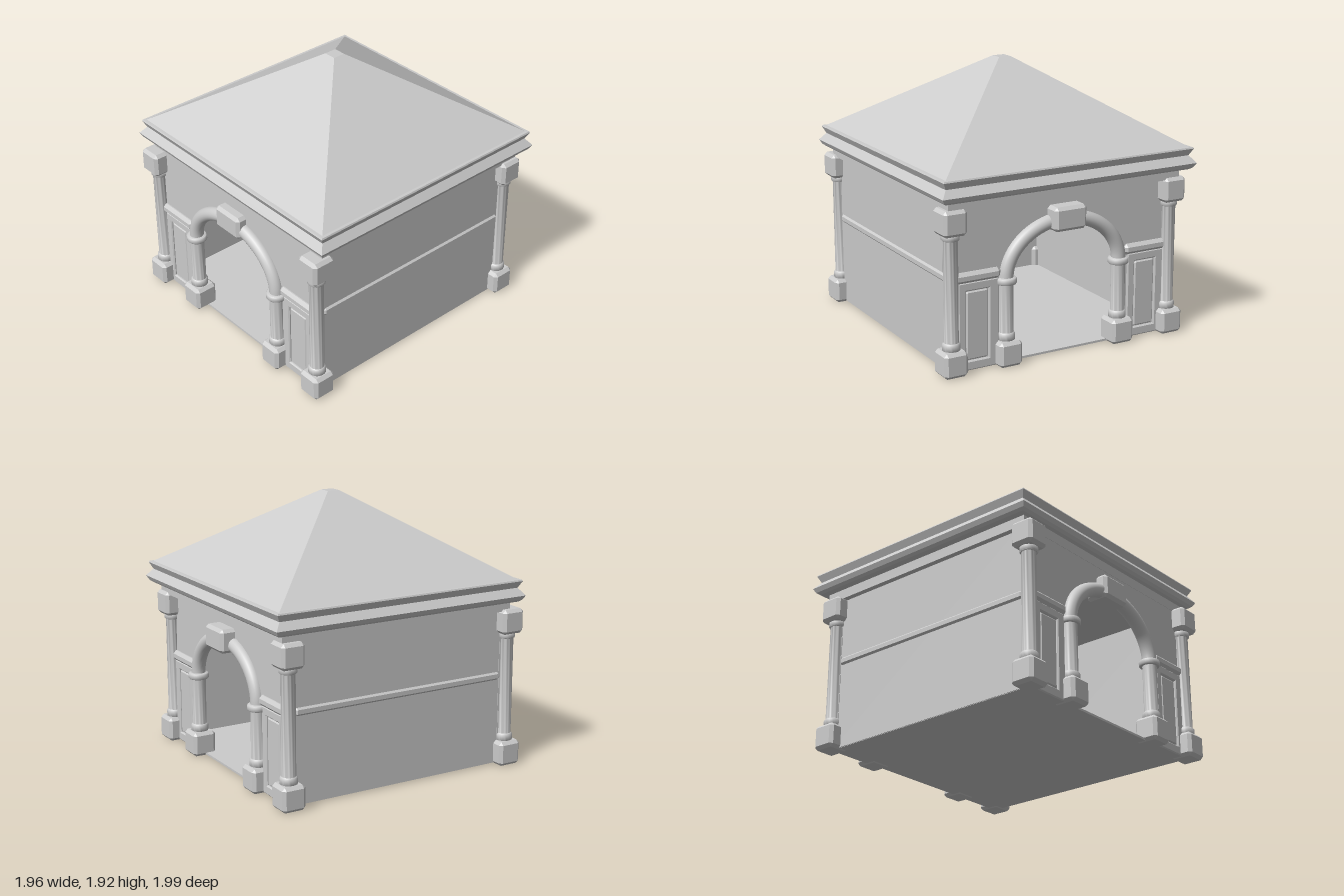
import * as THREE from 'three';
import { toCreasedNormals } from 'three/addons/utils/BufferGeometryUtils.js';
import { ConvexGeometry } from 'three/addons/geometries/ConvexGeometry.js';

const material = new THREE.MeshStandardMaterial({ color: 0xcccccc });
const flat = new THREE.MeshStandardMaterial({ color: 0xcccccc, flatShading: true });

function add(parent, name, geometry, x = 0, y = 0, z = 0, mat = material) {
  const mesh = new THREE.Mesh(geometry, mat);
  mesh.name = name;
  mesh.position.set(x, y, z);
  parent.add(mesh);
  return mesh;
}

// Box with every edge chamfered by c
function chamferBox(w, h, d, c) {
  const points = [];
  for (const sx of [-1, 1]) for (const sy of [-1, 1]) for (const sz of [-1, 1]) {
    const x = w / 2, y = h / 2, z = d / 2;
    points.push(
      new THREE.Vector3(sx * x, sy * (y - c), sz * (z - c)),
      new THREE.Vector3(sx * (x - c), sy * y, sz * (z - c)),
      new THREE.Vector3(sx * (x - c), sy * (y - c), sz * z));
  }
  return new ConvexGeometry(points);
}

function turned(profile, segments = 28) {
  const points = profile.map(([r, y]) => new THREE.Vector2(r, y));
  return toCreasedNormals(new THREE.LatheGeometry(points, segments), 0.7);
}

// Square-plan lathe: each profile point is [half width, height]
function squareTurned(profile) {
  const points = profile.map(([r, y]) => new THREE.Vector2(r * Math.SQRT2, y));
  return new THREE.LatheGeometry(points, 4).rotateY(Math.PI / 4);
}

function rect(target, x0, y0, x1, y1) {
  target.moveTo(x0, y0);
  target.lineTo(x1, y0);
  target.lineTo(x1, y1);
  target.lineTo(x0, y1);
  target.closePath();
  return target;
}

// Rounded collar on a shaft, from y0 to y1
const collar = (r, y0, y1) => [
  [0.05, y0], [r - 0.006, y0], [r, y0 + 0.008], [r, y1 - 0.012], [r - 0.006, y1 - 0.004], [0.05, y1]];

const ARCH_X = 0.445, SPRING_Y = 0.6, ARCH_RISE = 0.35;

// One arched end wall, facing +z with its face on z = 0
function facade(name, columnZ, keystoneZ) {
  const group = new THREE.Group();
  group.name = name;

  const wall = new THREE.Shape();
  wall.moveTo(-0.86, 0.01);
  wall.lineTo(-ARCH_X, 0.01);
  wall.lineTo(-ARCH_X, SPRING_Y);
  wall.absellipse(0, SPRING_Y, ARCH_X, ARCH_RISE, Math.PI, 0, true);
  wall.lineTo(ARCH_X, 0.01);
  wall.lineTo(0.86, 0.01);
  wall.lineTo(0.86, 1.19);
  wall.lineTo(-0.86, 1.19);
  wall.closePath();
  add(group, 'archedWall', new THREE.ExtrudeGeometry(wall, { depth: 0.05, bevelEnabled: false, curveSegments: 32 }), 0, 0, -0.05);

  // Arch moulding and keystone
  const path = new THREE.CatmullRomCurve3(
    new THREE.EllipseCurve(0, SPRING_Y, ARCH_X, ARCH_RISE, 0, Math.PI).getPoints(32)
      .map((p) => new THREE.Vector3(p.x, p.y, 0)));
  add(group, 'archMoulding', new THREE.TubeGeometry(path, 48, 0.05, 20), 0, 0, columnZ);
  add(group, 'keystone', chamferBox(0.25, 0.168, 0.17, 0.022), 0, 0.968, keystoneZ - 0.085);

  for (const side of [-1, 1]) {
    // Corner column
    const corner = new THREE.Group();
    corner.name = 'cornerColumn';
    corner.position.set(side * 0.857, 0, columnZ);
    group.add(corner);
    add(corner, 'columnBase', chamferBox(0.174, 0.176, 0.174, 0.022), 0, 0.088);
    add(corner, 'columnCapital', chamferBox(0.174, 0.176, 0.174, 0.022), 0, 1.047);
    add(corner, 'columnShaft', turned([...collar(0.061, 0.17, 0.228), ...collar(0.061, 0.922, 0.97)]));

    // Arch column
    const inner = new THREE.Group();
    inner.name = 'archColumn';
    inner.position.set(side * ARCH_X, 0, columnZ);
    group.add(inner);
    add(inner, 'archColumnBase', chamferBox(0.174, 0.176, 0.174, 0.022), 0, 0.088);
    add(inner, 'archColumnShaft', turned([...collar(0.061, 0.17, 0.228), ...collar(0.073, 0.565, 0.61)]));

    // Panelled dado and its rail
    const frame = rect(new THREE.Shape(), -0.135, 0.015, 0.15, 0.61);
    frame.holes.push(rect(new THREE.Path(), -0.093, 0.065, 0.093, 0.565));
    add(group, 'panelFrame', new THREE.ExtrudeGeometry(frame,
      { depth: 0.008, bevelThickness: 0.008, bevelSize: 0.008, bevelSegments: 1 }), side * 0.663, 0, 0);
    add(group, 'panelField', chamferBox(0.16, 0.474, 0.02, 0.009), side * 0.663, 0.315, 0);
    add(group, 'dadoRail', chamferBox(0.34, 0.075, 0.06, 0.022), side * 0.66, 0.65, 0);
  }
  return group;
}

export function createModel() {
  const model = new THREE.Group();
  model.name = 'pavilion';

  const front = facade('frontFacade', 0.01, 0.075);
  front.position.set(-0.004, 0, 0.903);
  const back = facade('backFacade', 0.005, 0.108);
  back.position.set(-0.004, 0, -0.837);
  back.rotation.y = Math.PI;
  model.add(front, back);

  // Side walls with a shallow rail
  for (const side of [-1, 1]) {
    add(model, 'sideWall', new THREE.BoxGeometry(0.04, 1.18, 1.74), side * 0.84, 0.6, 0.033);
    add(model, 'sideRail', chamferBox(0.05, 0.07, 1.66, 0.02), side * 0.848, 0.65, 0.033);
  }

  add(model, 'floor', new THREE.BoxGeometry(1.71, 0.015, 1.74), 0, 0.015, 0.033);
  add(model, 'frieze', new THREE.BoxGeometry(1.8, 0.08, 1.81), 0, 1.16, 0);

  // Cornice and hipped roof
  add(model, 'cornice', squareTurned([
    [0, 1.19], [0.945, 1.19], [0.965, 1.205], [0.982, 1.236],
    [0.94, 1.288], [0.965, 1.336], [0.96, 1.346], [0.94, 1.347]]), -0.003, 0, -0.007, flat);
  add(model, 'roof', squareTurned([[0.94, 1.347], [0.045, 1.919], [0, 1.919]]), -0.003, 0, -0.007, flat);
  return model;
}
